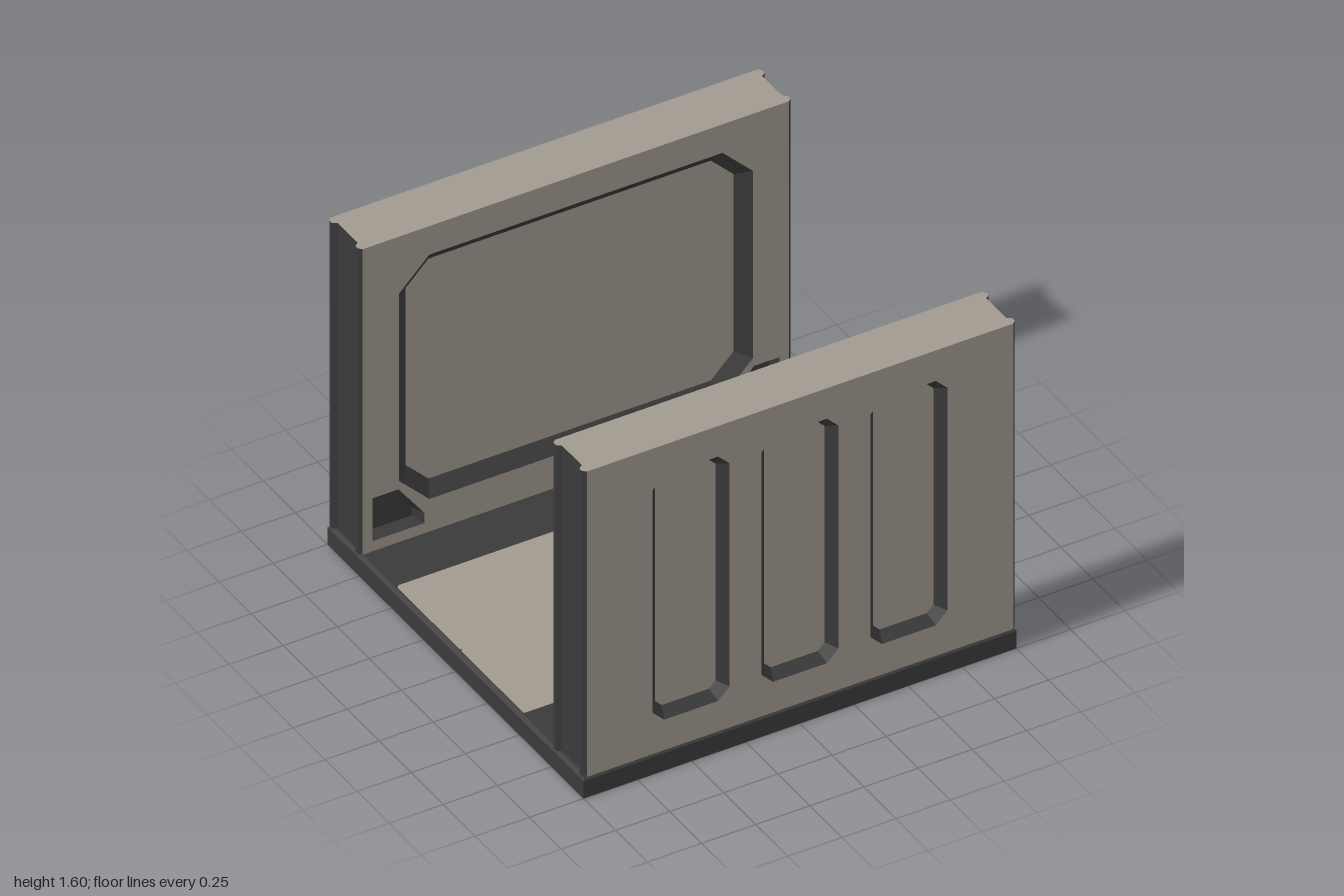
import * as THREE from 'three';

const stone = new THREE.MeshStandardMaterial({ color: 0xa09a90 });
stone.name = 'warm grey panel';
const dark = new THREE.MeshStandardMaterial({ color: 0x3a3a3a });
dark.name = 'charcoal trim';

function add(parent, name, geometry, material) {
  const mesh = new THREE.Mesh(geometry, material);
  mesh.name = name;
  parent.add(mesh);
  return mesh;
}

function box(parent, name, material, w, h, d, x, y, z) {
  add(parent, name, new THREE.BoxGeometry(w, h, d), material).position.set(x, y, z);
}

// Rectangle with cut corners, counter-clockwise
function octagon(cx, cy, w, h, c) {
  const x = w / 2, y = h / 2;
  return [[-x + c, -y], [x - c, -y], [x, -y + c], [x, y - c], [x - c, y], [-x + c, y], [-x, y - c], [-x, -y + c]]
    .map(([px, py]) => new THREE.Vector2(cx + px, cy + py));
}

// Flat-shaded quads between two matching rows of points
function strip(a, b, closed) {
  const pts = [];
  const count = closed ? a.length : a.length - 1;
  for (let i = 0; i < count; i++) {
    const j = (i + 1) % a.length;
    pts.push(a[i], a[j], b[j], a[i], b[j], b[i]);
  }
  const geometry = new THREE.BufferGeometry().setFromPoints(pts);
  geometry.computeVertexNormals();
  return geometry;
}

const HALF = 0.125, LOW = 0.1, HIGH = 1.6, EDGE = 0.985;
const at = (points, z) => points.map(p => new THREE.Vector3(p.x, p.y, z));

// One wall face with sunken panels
function wallFace(name, recesses) {
  const group = new THREE.Group();
  group.name = name;
  const shape = new THREE.Shape([[-EDGE, LOW], [EDGE, LOW], [EDGE, HIGH], [-EDGE, HIGH]]
    .map(p => new THREE.Vector2(...p)));
  for (const { outer, inner, depth, floor } of recesses) {
    shape.holes.push(new THREE.Path(outer));
    add(group, 'recessBevel', strip(at(outer, HALF), at(inner, HALF - depth), true), dark);
    add(group, 'recessPanel', new THREE.ShapeGeometry(new THREE.Shape(inner)), floor).position.z = HALF - depth;
  }
  add(group, 'faceSheet', new THREE.ShapeGeometry(shape), stone).position.z = HALF;
  return group;
}

function panelRecess(cx, cy, w, h, c, bevel, depth) {
  return {
    outer: octagon(cx, cy, w, h, c),
    inner: octagon(cx, cy, w - 2 * bevel, h - 2 * bevel, c - 0.586 * bevel),
    depth, floor: stone
  };
}

// Small dark pocket in a lower corner of the inner face
function pocket(side) {
  const make = k => {
    const pts = [[0.7, 0.15], [0.94, 0.15], [0.94, 0.36], [0.82, 0.36], [0.7, 0.2]]
      .map(([x, y]) => new THREE.Vector2(side * (0.84 + (x - 0.84) * k), 0.24 + (y - 0.24) * k));
    return side < 0 ? pts.reverse() : pts;
  };
  return { outer: make(1), inner: make(0.8), depth: 0.05, floor: dark };
}

function wall(name) {
  const group = new THREE.Group();
  group.name = name;

  const slots = [-0.503, 0, 0.503].map(x => panelRecess(x, 0.85, 0.355, 1.2, 0.053, 0.038, 0.045));
  group.add(wallFace('outerFace', slots));

  const inside = wallFace('innerFace', [
    panelRecess(0, 0.86, 1.634, 1.2, 0.14, 0.06, 0.05), pocket(1), pocket(-1)
  ]);
  inside.rotation.y = Math.PI;
  group.add(inside);

  // Grooved end profile with a bead at each corner
  const profile = [[EDGE, 0.125], [1, 0.11], [1, 0.092], [0.98, 0.077],
    [0.98, -0.077], [1, -0.092], [1, -0.11], [EDGE, -0.125]];
  const row = y => profile.map(([x, z]) => new THREE.Vector3(x, y, z));
  for (const turn of [0, Math.PI]) {
    add(group, 'groovedEnd', strip(row(LOW), row(HIGH), false), dark).rotation.y = turn;
  }

  // Top cap follows both end profiles
  const outline = [...profile.map(([x, z]) => new THREE.Vector2(x, z)),
    ...profile.map(([x, z]) => new THREE.Vector2(-x, -z))];
  const cap = new THREE.ShapeGeometry(new THREE.Shape(outline));
  cap.rotateX(-Math.PI / 2);
  add(group, 'topCap', cap, stone).position.y = HIGH;
  return group;
}

function base() {
  const group = new THREE.Group();
  group.name = 'base';

  // Thin square rim with a chamfered upper edge, hollow below
  const profile = [[0.98, 0.1], [0.98, 0], [1, 0], [1, 0.085], [0.985, 0.1], [0.98, 0.1]]
    .map(([r, y]) => new THREE.Vector2(r * Math.SQRT2, y));
  const rim = new THREE.LatheGeometry(profile, 4).rotateY(Math.PI / 4).toNonIndexed();
  rim.computeVertexNormals();
  add(group, 'rim', rim, dark);

  // Deck, side bands and underside
  box(group, 'deck', dark, 1.96, 0.01, 1, 0, 0.09, 0);
  box(group, 'underPanel', stone, 1.96, 0.005, 1, 0, 0.0825, 0);
  for (const s of [-1, 1]) box(group, 'sideBand', dark, 1.96, 0.02, 0.48, 0, 0.09, s * 0.74);

  // Four floor tiles with clipped corners
  for (const x of [-0.49, 0.49]) for (const z of [-0.25, 0.25]) {
    const tile = new THREE.ExtrudeGeometry(new THREE.Shape(octagon(x, z, 0.98, 0.5, 0.012)),
      { depth: 0.005, bevelEnabled: false });
    tile.rotateX(-Math.PI / 2);
    add(group, 'floorTile', tile, stone).position.y = 0.095;
  }
  return group;
}

export function createModel() {
  const model = new THREE.Group();
  model.name = 'corridorSection';
  model.add(base());
  const front = wall('frontWall');
  front.position.z = 0.875;
  const back = wall('backWall');
  back.position.z = -0.875;
  back.rotation.y = Math.PI;
  model.add(front, back);
  return model;
}
